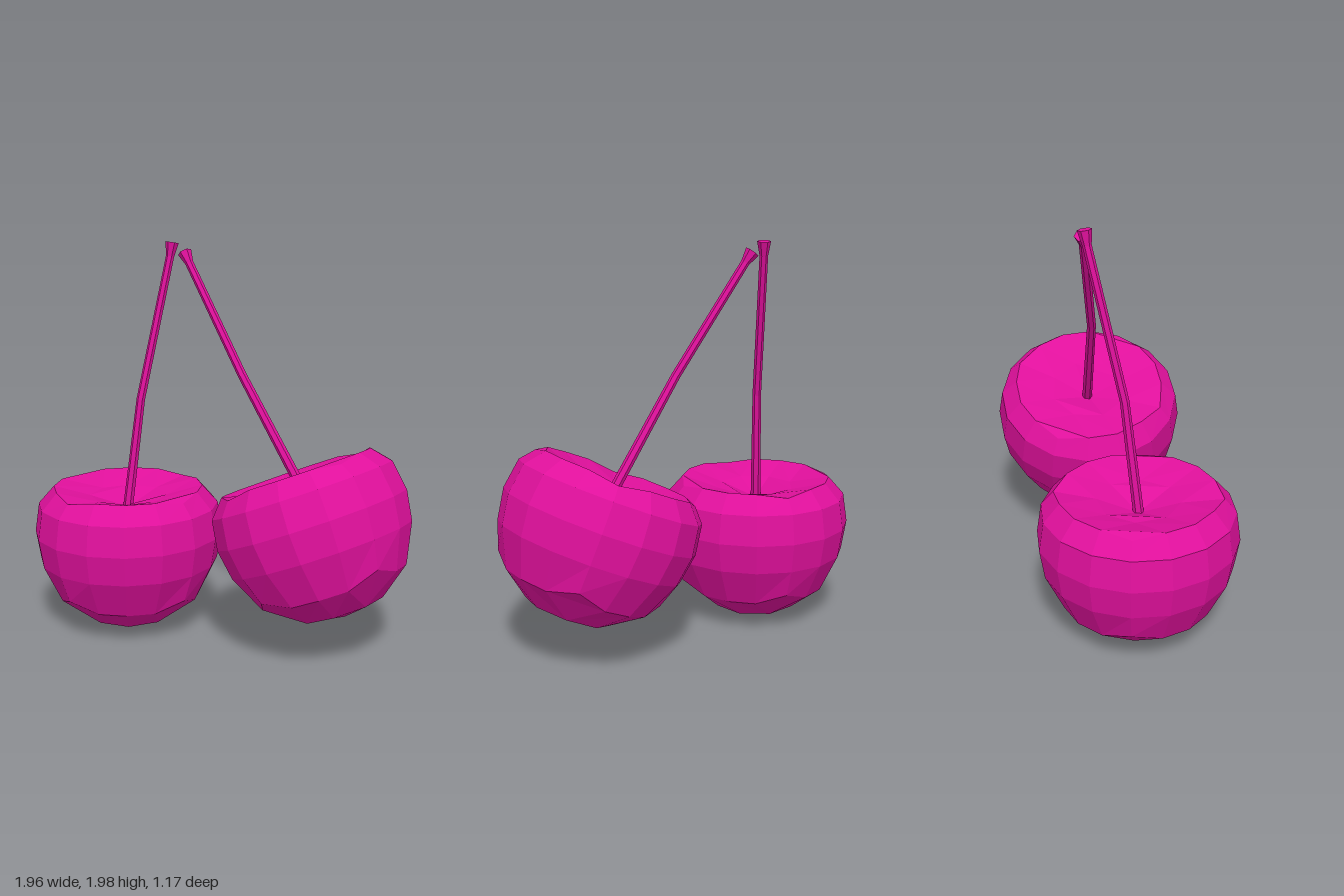
import * as THREE from 'three';

const material = new THREE.MeshStandardMaterial({ color: 0xe0109c, flatShading: true });

// Rings of the fruit as [radius, height], from the cap centre outwards
const TOP = [[0, -0.125 + 0.26], [0.2, 0.2], [0.385, 0.25]];
const BOTTOM = [[0, -0.49], [0.21, -0.45], [0.37, -0.33]];
const SIDE = { 1: [0.465, 0.16], 0: [0.487, 0.01], '-1': [0.462, -0.14] };

// Fruit: a 4x4x4 quad cube rounded into a cherry with a dimple on top
function makeFruit() {
  const geo = new THREE.BoxGeometry(4, 4, 4, 4, 4, 4);
  const pos = geo.attributes.position;
  for (let i = 0; i < pos.count; i++) {
    const x = Math.round(pos.getX(i));
    const y = Math.round(pos.getY(i));
    const z = Math.round(pos.getZ(i));
    const ring = Math.max(Math.abs(x), Math.abs(z));
    let [r, h] = y === 2 ? TOP[ring] : y === -2 ? BOTTOM[ring] : SIDE[y];
    // cube corners stay slightly wider and closer to the middle
    if (Math.abs(x) === 2 && Math.abs(z) === 2 && Math.abs(y) === 2) {
      r += y > 0 ? 0.02 : 0.04;
      h -= y > 0 ? 0.02 : -0.05;
    }
    const a = Math.atan2(Math.tan(z * Math.PI / 8), Math.tan(x * Math.PI / 8));
    pos.setXYZ(i, r * Math.cos(a), h, r * Math.sin(a));
  }
  geo.computeVertexNormals();
  return new THREE.Mesh(geo, material);
}

// Stem: a six-sided tube through [x, y, z, radius] stations, bottom to top
function makeStem(stations) {
  const n = stations.length - 1;
  const points = stations.map(([x, y, z]) => new THREE.Vector3(x, y, z));
  const up = new THREE.Vector3(0, 1, 0);
  const frames = points.map((p, i) => {
    const t = points[Math.min(i + 1, n)].clone().sub(points[Math.max(i - 1, 0)]).normalize();
    return new THREE.Quaternion().setFromUnitVectors(up, t);
  });
  const geo = new THREE.CylinderGeometry(1, 1, 1, 6, n);
  const pos = geo.attributes.position;
  const v = new THREE.Vector3();
  for (let i = 0; i < pos.count; i++) {
    const k = Math.round((pos.getY(i) + 0.5) * n);
    v.set(pos.getX(i), 0, pos.getZ(i)).multiplyScalar(stations[k][3]);
    v.applyQuaternion(frames[k]).add(points[k]);
    pos.setXYZ(i, v.x, v.y, v.z);
  }
  geo.computeVertexNormals();
  return new THREE.Mesh(geo, material);
}

export function createModel() {
  const model = new THREE.Group();
  model.name = 'cherryPair';

  const cherries = [
    {
      side: 'right', centre: [-0.5, 0.5, 0.1], tilt: 0, turn: 37,
      stem: [
        [-0.505, 0.6, 0.105, 0.026], [-0.46, 1.2, 0.035, 0.022],
        [-0.388, 1.92, -0.128, 0.021], [-0.382, 1.99, -0.138, 0.034],
      ],
    },
    {
      side: 'left', centre: [0.495, 0.68, -0.1], tilt: 23, turn: 20,
      stem: [
        [0.46, 0.78, -0.11, 0.026], [0.08, 1.36, -0.095, 0.022],
        [-0.275, 1.89, -0.14, 0.021], [-0.31, 1.942, -0.148, 0.036],
      ],
    },
  ];

  for (const { side, centre, tilt, turn, stem } of cherries) {
    const fruit = makeFruit();
    fruit.name = side + 'Fruit';
    fruit.position.set(...centre);
    // turn about the fruit's own axis first, then lean it over
    fruit.rotation.set(0, THREE.MathUtils.degToRad(turn), THREE.MathUtils.degToRad(tilt), 'ZYX');
    const stalk = makeStem(stem);
    stalk.name = side + 'Stem';
    model.add(fruit, stalk);
  }
  return model;
}
